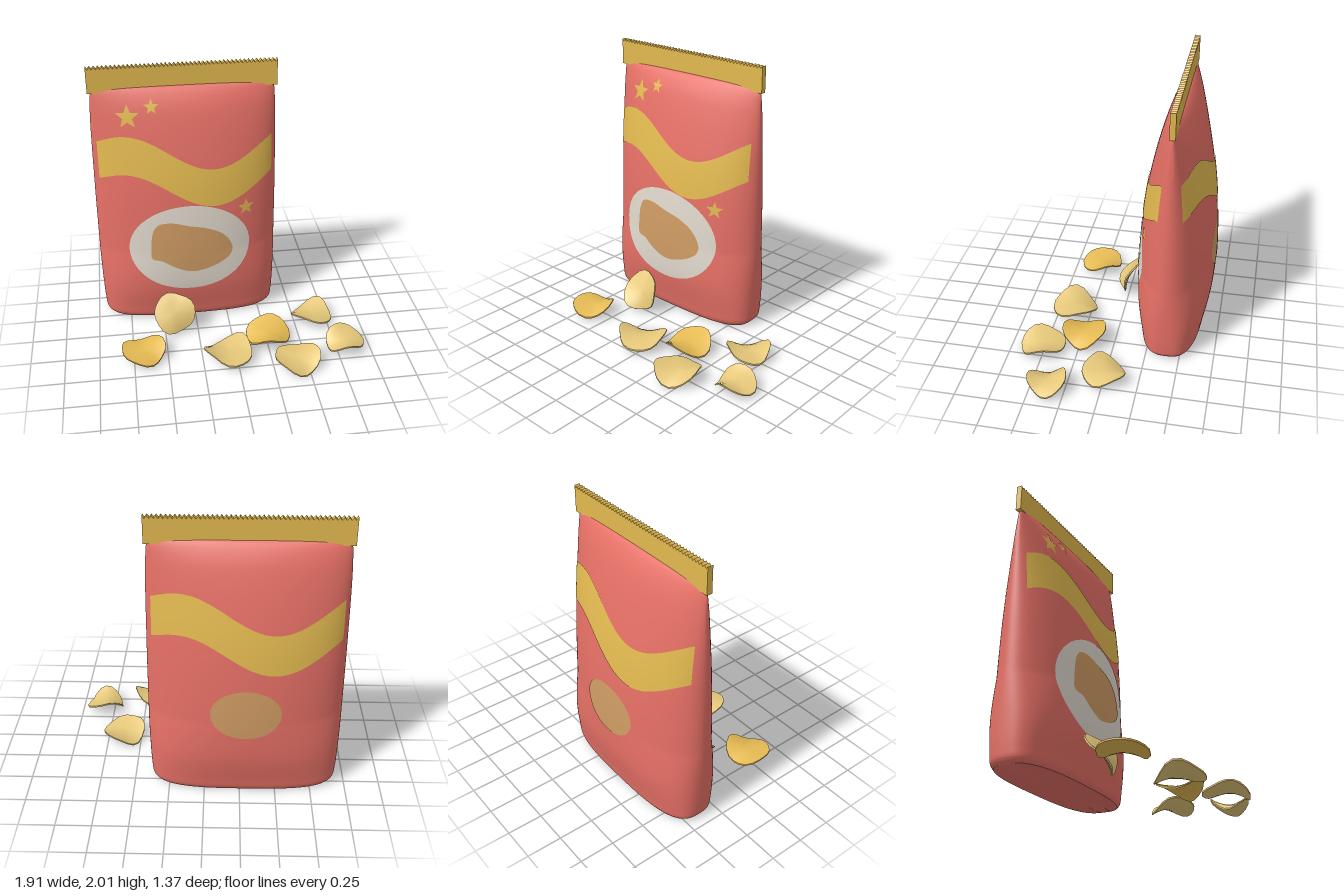
import * as THREE from 'three';
import { toCreasedNormals } from 'three/addons/utils/BufferGeometryUtils.js';

const mat = (name, color) => Object.assign(new THREE.MeshStandardMaterial({ color }), { name });

// Skin a list of rows of [x, y, z] points; each row may close on itself.
function loft(rows, closed = true) {
  const n = rows[0].length, index = [];
  for (let i = 0; i < rows.length - 1; i++) {
    for (let j = 0; j < (closed ? n : n - 1); j++) {
      const k = (j + 1) % n;
      const a = i * n + j, b = i * n + k, c = a + n, d = b + n;
      index.push(a, c, b, b, c, d);
    }
  }
  const g = new THREE.BufferGeometry();
  g.setAttribute('position', new THREE.Float32BufferAttribute(rows.flat(2), 3));
  g.setIndex(index);
  g.computeVertexNormals();
  return g;
}

// Bag profile: half width, height, half depth
const profile = new THREE.CatmullRomCurve3([
  [0.625, 0, 0.205], [0.65, 0.03, 0.222], [0.66, 0.1, 0.236], [0.669, 0.3, 0.274],
  [0.673, 0.5, 0.284], [0.673, 0.7, 0.28], [0.672, 1, 0.257], [0.67, 1.2, 0.23],
  [0.668, 1.4, 0.19], [0.664, 1.6, 0.14], [0.658, 1.72, 0.1], [0.65, 1.8, 0.058],
  [0.63, 1.835, 0.03], [0.6, 1.85, 0.005],
].map(p => new THREE.Vector3(...p))).getPoints(104);

// The lower bag is boxier than the upper bag
const power = y => 2 + Math.max(0, 1 - y / 0.6);

// Depth of the bag's front at a point
function bagZ(x, y) {
  const i = Math.max(1, profile.findIndex(p => p.y >= y));
  const p = profile[i - 1].clone().lerp(profile[i], (y - profile[i - 1].y) / (profile[i].y - profile[i - 1].y));
  const e = power(y);
  return p.z * Math.pow(Math.max(0, 1 - Math.pow(Math.abs(x) / p.x, e)), 1 / e);
}

function bagGeometry() {
  const n = 96;
  const rows = profile.map(({ x: a, y, z: b }) => Array.from({ length: n }, (_, j) => {
    const t = j / n * Math.PI * 2, c = Math.cos(t), s = Math.sin(t), e = 2 / power(y);
    return [a * Math.sign(c) * Math.abs(c) ** e, y, b * Math.sign(s) * Math.abs(s) ** e];
  }));
  const cap = y => Array.from({ length: n }, () => [0, y, 0]);
  return toCreasedNormals(loft([cap(0.004), ...rows, cap(1.85)]), 0.8);
}

// Printed shape that follows the bag surface, from an outline around a centre
function printed(outline, cx, cy, lift) {
  const rows = [];
  for (let i = 0; i <= 14; i++) {
    rows.push(outline.map(([px, py]) => {
      const x = cx + (px - cx) * i / 14, y = cy + (py - cy) * i / 14;
      return [x, y, bagZ(x, y) + lift];
    }));
  }
  return loft(rows);
}

const ellipse = (cx, cy, rx, ry) => printed(Array.from({ length: 56 }, (_, i) => {
  const t = i / 56 * Math.PI * 2;
  return [cx + rx * Math.cos(t), cy + ry * Math.sin(t)];
}), cx, cy, 0.004);

const star = (cx, cy, r) => printed(Array.from({ length: 10 }, (_, i) => {
  const t = Math.PI / 2 + i * Math.PI / 5, q = i % 2 ? r * 0.42 : r;
  return [cx + q * Math.cos(t), cy + q * Math.sin(t)];
}), cx, cy, 0.004);

function waveGeometry() {
  const rows = [];
  for (let i = 0; i <= 64; i++) {
    const x = -0.63 + 1.26 * i / 64;
    const mid = 1.25 + 0.127 * Math.cos(Math.PI * (x + 0.44) / 0.64);
    rows.push(Array.from({ length: 13 }, (_, j) => {
      const y = mid - 0.14 + 0.28 * j / 12;
      return [x, y, bagZ(x, y) + 0.005];
    }));
  }
  return loft(rows, false);
}

// Flat crimped strip with a zigzag top edge
function sealGeometry() {
  const s = new THREE.Shape(), teeth = 46, w = 1.34;
  s.moveTo(-w / 2, 1.81);
  s.lineTo(w / 2, 1.81);
  for (let i = 0; i <= teeth * 2; i++) s.lineTo(w / 2 - w * i / (teeth * 2), i % 2 ? 1.982 : 2);
  const g = new THREE.ExtrudeGeometry(s, { depth: 0.04, bevelEnabled: false });
  return g.translate(0, 0, -0.02);
}

// Thin saddle-shaped crisp with an uneven rim
function chipGeometry(r, seed, bend) {
  const n = 20, half = 0.006;
  const at = (f, side) => Array.from({ length: n }, (_, j) => {
    const t = j / n * Math.PI * 2;
    const q = f * r * (0.97 + 0.035 * Math.sin(3 * t + seed) + 0.03 * Math.cos(5 * t + seed * 2.3));
    const y = bend * f * f * Math.cos(2 * t) + 0.012 * f * f * Math.sin(3 * t + seed);
    return [q * Math.cos(t), y + side * half, q * Math.sin(t)];
  });
  const steps = [0, 0.25, 0.5, 0.75, 1];
  const rows = [...steps.map(f => at(f, -1)), ...steps.slice().reverse().map(f => at(f, 1))];
  return toCreasedNormals(loft(rows), 0.9);
}

export function createModel() {
  const red = mat('bag red', 0xe67066);
  const gold = mat('print gold', 0xe3ba50);
  const cream = mat('label cream', 0xe2dace);
  const tan = mat('picture tan', 0xd09c64);
  const pale = mat('pale crisp', 0xe6c87a);
  const deep = mat('golden crisp', 0xe6bb54);

  const model = new THREE.Group();
  const add = (parent, name, geometry, material) => {
    const m = new THREE.Mesh(geometry, material);
    m.name = name;
    parent.add(m);
    return m;
  };

  // Bag with its crimped top
  const bag = new THREE.Group();
  bag.name = 'bag';
  bag.position.set(-0.28, 0, -0.4);
  model.add(bag);
  add(bag, 'bagBody', bagGeometry(), red);
  add(bag, 'topSeal', sealGeometry(), gold);

  // Front print
  add(bag, 'frontWave', waveGeometry(), gold);
  add(bag, 'frontLabel', ellipse(0, 0.645, 0.45, 0.355), cream);
  const blob = new THREE.CatmullRomCurve3([
    [-0.29, 0.65], [-0.285, 0.57], [-0.21, 0.55], [-0.11, 0.49], [0.02, 0.45], [0.21, 0.5], [0.305, 0.57],
    [0.315, 0.64], [0.25, 0.745], [0.13, 0.81], [0, 0.84], [-0.13, 0.87], [-0.23, 0.855], [-0.27, 0.8],
  ].map(([x, y]) => new THREE.Vector3(x, y, 0)), true).getPoints(56).slice(0, -1).map(p => [p.x, p.y]);
  add(bag, 'frontPicture', printed(blob, 0, 0.66, 0.008), tan);
  [[-0.405, 1.655, 0.087], [-0.235, 1.72, 0.055], [0.425, 0.935, 0.066]]
    .forEach(([x, y, r]) => add(bag, 'star', star(x, y, r), gold));

  // Back print
  const back = new THREE.Group();
  back.name = 'backPrint';
  back.rotation.y = Math.PI;
  bag.add(back);
  add(back, 'backWave', waveGeometry(), gold);
  add(back, 'backPicture', ellipse(0, 0.685, 0.24, 0.185), tan);

  // Crisps: x, y, z, radius, turn, lean, bend, colour
  [
    [-0.425, 0.155, 0, 0.16, 0.6, 1.04, 0.03, pale],
    [-0.68, 0.055, 0.28, 0.165, 0.4, 0.05, 0.03, deep],
    [-0.06, 0.06, 0.37, 0.178, 0.5, -0.05, 0.042, pale],
    [0.26, 0.075, 0.22, 0.168, 1.5, 0.08, 0.045, deep],
    [0.42, 0.055, 0.51, 0.17, 0.3, 0.05, 0.04, pale],
    [0.635, 0.055, 0, 0.16, 0.9, -0.08, 0.04, pale],
    [0.815, 0.065, 0.37, 0.144, 1.7, 0.1, 0.045, pale],
  ].forEach(([x, y, z, r, turn, lean, bend, colour], i) => {
    const chip = add(model, 'crisp', chipGeometry(r, i * 1.7, bend), colour);
    chip.position.set(x, y, z);
    chip.rotation.set(lean, turn, 0);
  });
  return model;
}
